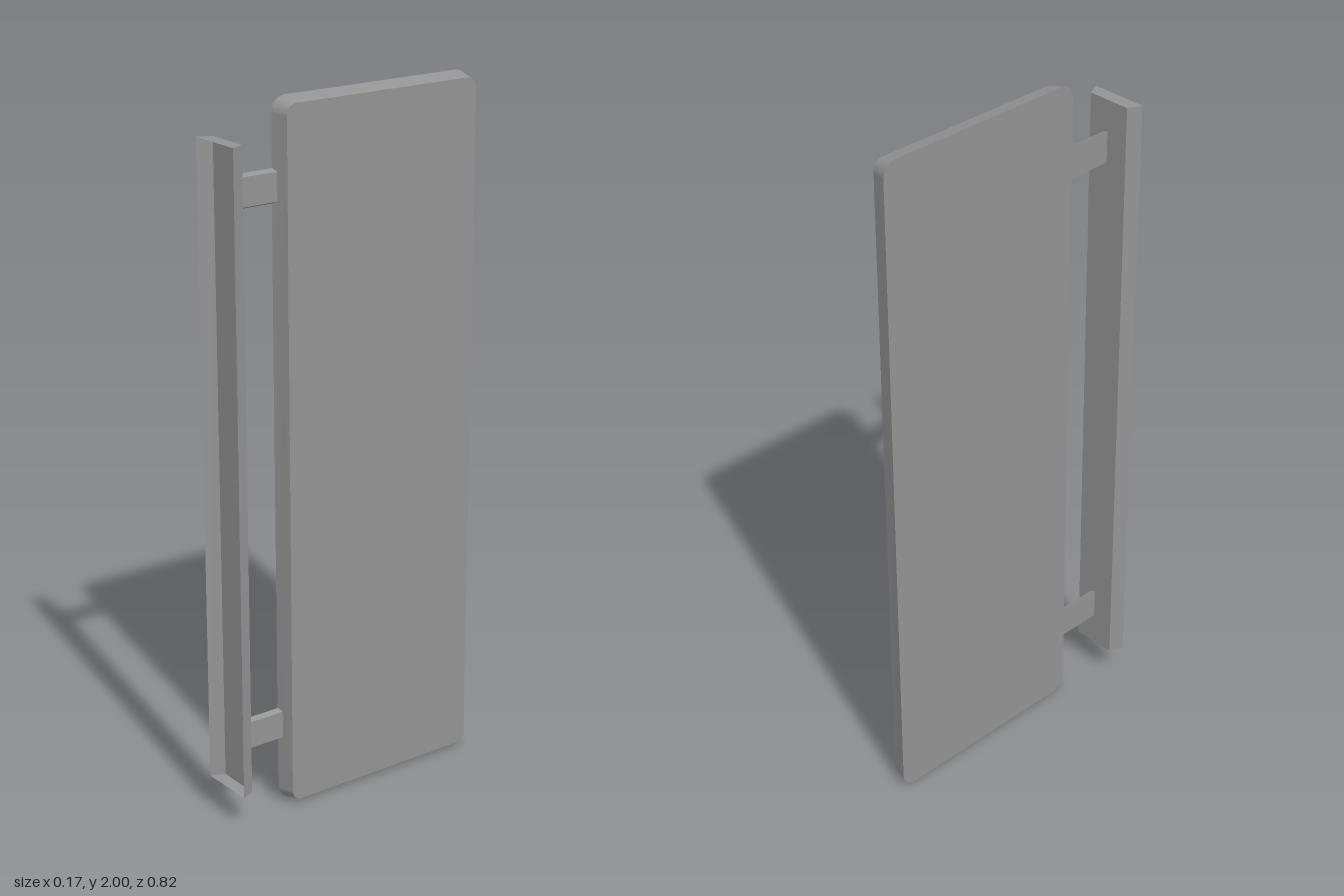
import * as THREE from 'three';
import { toCreasedNormals } from 'three/addons/utils/BufferGeometryUtils.js';

const grey = new THREE.MeshStandardMaterial({ color: 0x939393 });
grey.name = 'grey';
const greySheet = new THREE.MeshStandardMaterial({ color: 0x939393, side: THREE.DoubleSide });
greySheet.name = 'grey sheet';

function addMesh(group, name, geometry, material = grey) {
  const mesh = new THREE.Mesh(geometry, material);
  mesh.name = name;
  group.add(mesh);
  return mesh;
}

// Rounded slab facing +x, its +x face inset so that the rim slopes
function slabGeometry(halfW, halfH, radius, depth, inset) {
  const w = halfW - radius, h = halfH - radius;
  const shape = new THREE.Shape();
  shape.absarc(w, h, radius, 0, Math.PI / 2);
  shape.absarc(-w, h, radius, Math.PI / 2, Math.PI);
  shape.absarc(-w, -h, radius, Math.PI, Math.PI * 1.5);
  shape.absarc(w, -h, radius, Math.PI * 1.5, Math.PI * 2);
  const geo = new THREE.ExtrudeGeometry(shape, { depth, bevelEnabled: false, curveSegments: 10 });
  const pos = geo.attributes.position;
  const k = 1 - inset / radius;
  for (let i = 0; i < pos.count; i++) {
    if (pos.getZ(i) < depth / 2) continue;
    const cx = Math.sign(pos.getX(i)) * w, cy = Math.sign(pos.getY(i)) * h;
    pos.setXY(i, cx + (pos.getX(i) - cx) * k, cy + (pos.getY(i) - cy) * k);
  }
  geo.rotateY(Math.PI / 2);
  return toCreasedNormals(geo, 0.5);
}

// Open tray: narrow floor, flared side walls and flat ends
function trayGeometry(y0, y1, backZ, frontZ, backX, frontX) {
  const p = (x, y, z) => [x, y, z];
  const quads = [
    [p(-backX, y0, backZ), p(backX, y0, backZ), p(backX, y1, backZ), p(-backX, y1, backZ)],
    [p(backX, y0, backZ), p(frontX, y0, frontZ), p(frontX, y1, frontZ), p(backX, y1, backZ)],
    [p(-frontX, y0, frontZ), p(-backX, y0, backZ), p(-backX, y1, backZ), p(-frontX, y1, frontZ)],
    [p(-frontX, y0, frontZ), p(frontX, y0, frontZ), p(backX, y0, backZ), p(-backX, y0, backZ)],
    [p(-backX, y1, backZ), p(backX, y1, backZ), p(frontX, y1, frontZ), p(-frontX, y1, frontZ)],
  ];
  const points = quads.flatMap(([a, b, c, d]) => [a, b, c, a, c, d]).flat();
  const geo = new THREE.BufferGeometry();
  geo.setAttribute('position', new THREE.Float32BufferAttribute(points, 3));
  geo.computeVertexNormals();
  return geo;
}

export function createModel() {
  const model = new THREE.Group();
  model.name = 'sidePanel';

  // Main panel
  const panel = addMesh(model, 'panel', slabGeometry(0.3235, 0.9985, 0.045, 0.051, 0.0135));
  panel.position.set(0, 1.0015, -0.0865);

  // Mounting channel, open to the front
  addMesh(model, 'mountingChannel', trayGeometry(0.1, 1.905, 0.371, 0.41, 0.065, 0.083), greySheet);

  // Two brackets with sloped upper and lower edges
  const profile = new THREE.Shape([
    new THREE.Vector2(0.002, -0.046), new THREE.Vector2(0.018, -0.039),
    new THREE.Vector2(0.018, 0.039), new THREE.Vector2(0.002, 0.046),
  ]);
  const bracket = new THREE.ExtrudeGeometry(profile, { depth: 0.146, bevelEnabled: false });
  [['upperBracket', 1.77], ['lowerBracket', 0.245]].forEach(([name, y]) => {
    addMesh(model, name, bracket).position.set(0, y, 0.225);
  });

  return model;
}
